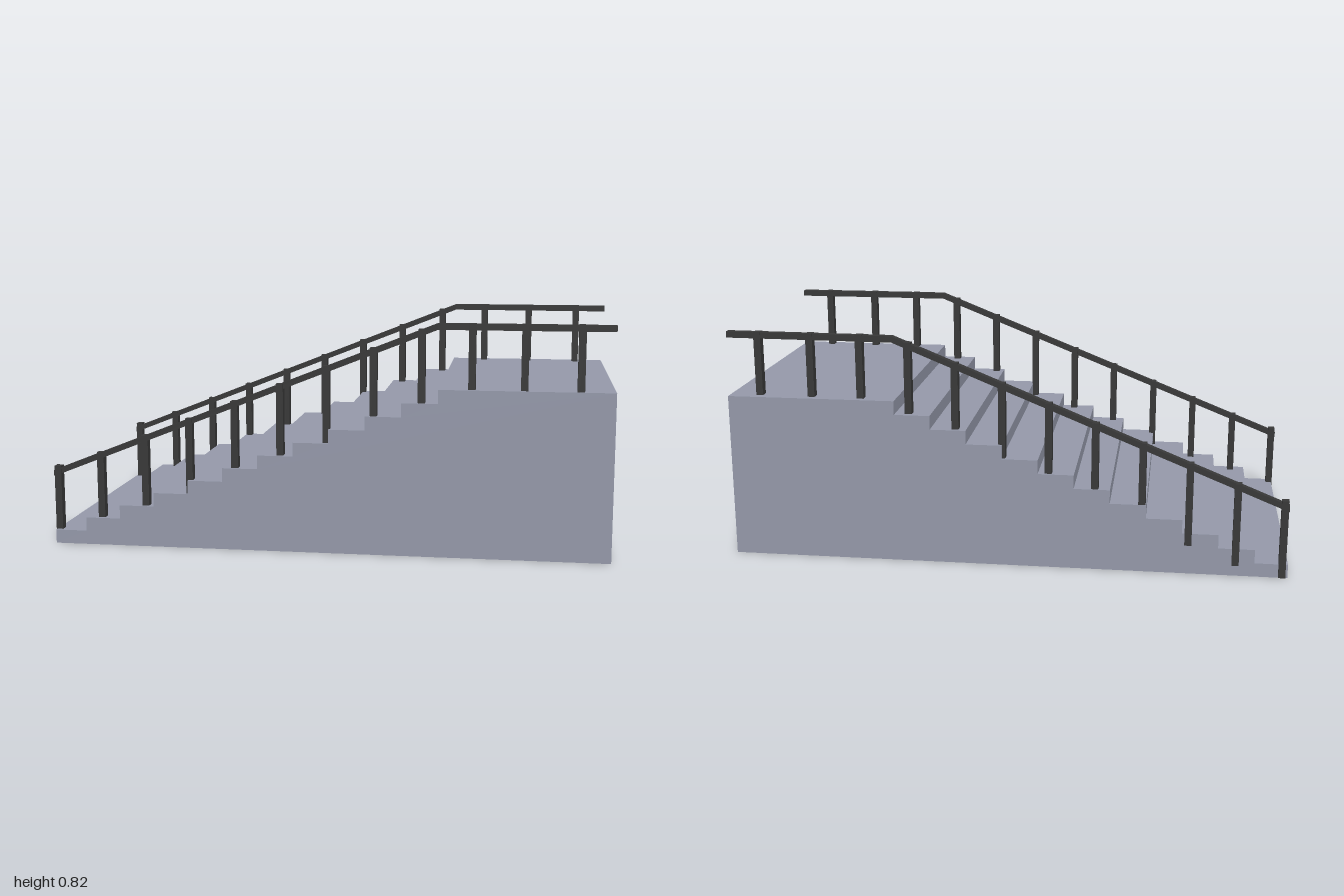
import * as THREE from 'three';

const concrete = new THREE.MeshStandardMaterial({ color: 0x9599aa });
concrete.name = 'grey concrete';
const metal = new THREE.MeshStandardMaterial({ color: 0x383838 });
metal.name = 'dark metal';

const STEPS = 12, RISE = 0.592 / STEPS, TREAD = 0.1272;
const HALF_LENGTH = 0.9945, HALF_WIDTH = 0.4885, LANDING_X = 0.393;

// Extrude a side profile along z, centred on z = 0
function extrudeProfile(points, depth) {
  const shape = new THREE.Shape(points.map(([x, y]) => new THREE.Vector2(x, y)));
  const geometry = new THREE.ExtrudeGeometry(shape, { depth, bevelEnabled: false });
  return geometry.translate(0, 0, -depth / 2);
}

// Solid stair block with a landing at the high end
function makeStairs() {
  const points = [[-HALF_LENGTH, 0], [HALF_LENGTH, 0], [HALF_LENGTH, STEPS * RISE]];
  for (let k = STEPS - 1; k >= 0; k--) {
    const x = k === 0 ? -HALF_LENGTH : LANDING_X - TREAD * (STEPS - 1 - k);
    points.push([x, (k + 1) * RISE]);
    if (k > 0) points.push([x, k * RISE]);
  }
  const stairs = new THREE.Mesh(extrudeProfile(points, HALF_WIDTH * 2), concrete);
  stairs.name = 'stairs';
  stairs.rotation.y = 0.0115;
  return stairs;
}

// Handrail centre height: sloped over the steps, level over the landing
const railY = (x) => Math.min(0.808, 0.256 + (x + 0.995) * 0.397);

const POST_X = [-0.98, -0.818, -0.652, -0.488, -0.322, -0.158, 0.007, 0.173, 0.34, 0.513, 0.692, 0.882];

function makeRailing(side) {
  const railing = new THREE.Group();
  railing.name = side > 0 ? 'frontRailing' : 'backRailing';

  // Handrail with one mitred bend
  const line = [-0.995, 0.395, 0.995];
  const top = line.map((x) => [x, railY(x) + 0.011]);
  const bottom = line.map((x) => [x, railY(x) - 0.011]).reverse();
  const handrail = new THREE.Mesh(extrudeProfile([...bottom, ...top], 0.026), metal);
  handrail.name = 'handrail';
  railing.add(handrail);

  // Posts sunk into the treads
  POST_X.forEach((x, i) => {
    const topY = railY(x) + (i === 0 ? 0.022 : 0.012);
    const bottomY = Math.max(0.002, topY - 0.3);
    const post = new THREE.Mesh(new THREE.BoxGeometry(0.025, topY - bottomY, 0.029), metal);
    post.name = 'post';
    post.position.set(x, (topY + bottomY) / 2, 0);
    railing.add(post);
  });

  // The two railings draw together slightly towards the landing
  railing.position.z = side * 0.4625;
  railing.rotation.y = side * 0.0097;
  return railing;
}

export function createModel() {
  const model = new THREE.Group();
  model.name = 'staircase';
  model.add(makeStairs(), makeRailing(1), makeRailing(-1));
  return model;
}
